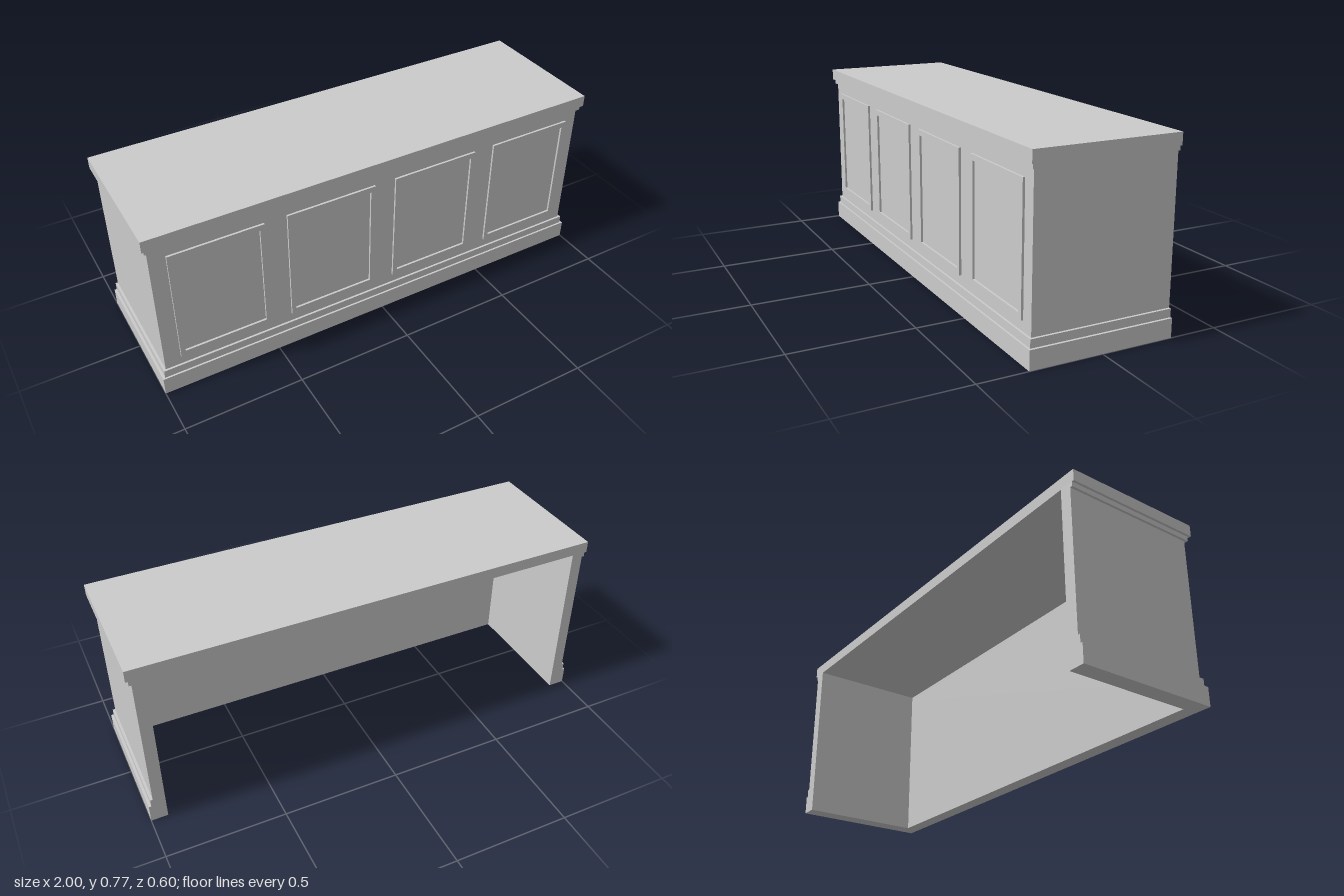
import * as THREE from 'three';

const BACK = -0.3;
const INNER_X = 0.93;
const INNER_Z = 0.235;

export function createModel() {
  const group = new THREE.Group();
  group.name = 'counter';
  const material = new THREE.MeshStandardMaterial({ color: 0xcccccc, flatShading: true });

  function add(name, geometry) {
    const mesh = new THREE.Mesh(geometry, material);
    mesh.name = name;
    group.add(mesh);
    return mesh;
  }

  // U-shaped wall layer, open at the back, from height y0 to y1
  function wallLayer(name, halfWidth, front, y0, y1) {
    const outline = [
      [-halfWidth, BACK], [-halfWidth, front], [halfWidth, front], [halfWidth, BACK],
      [INNER_X, BACK], [INNER_X, INNER_Z], [-INNER_X, INNER_Z], [-INNER_X, BACK],
    ].map(([x, z]) => new THREE.Vector2(x, -z));
    const geometry = new THREE.ExtrudeGeometry(new THREE.Shape(outline), {
      depth: y1 - y0, bevelEnabled: false,
    });
    geometry.rotateX(-Math.PI / 2).translate(0, y0, 0);
    add(name, geometry);
  }

  wallLayer('baseboard', 1.0, 0.298, 0, 0.078);
  wallLayer('baseMoulding', 0.99, 0.29, 0.078, 0.112);
  wallLayer('frontAndSideWalls', 0.98, 0.281, 0.112, 0.702);
  wallLayer('topMoulding', 0.99, 0.291, 0.702, 0.722);

  // Counter slab
  const top = add('countertop', new THREE.BoxGeometry(2, 0.049, 0.6));
  top.position.y = 0.7465;

  // Raised rectangular frames along the front
  const rectangle = (PathType, w, h) => new PathType([
    new THREE.Vector2(-w, -h), new THREE.Vector2(w, -h),
    new THREE.Vector2(w, h), new THREE.Vector2(-w, h),
  ]);
  const frame = rectangle(THREE.Shape, 0.194, 0.253);
  frame.holes.push(rectangle(THREE.Path, 0.174, 0.229));
  const frameGeometry = new THREE.ExtrudeGeometry(frame, { depth: 0.01, bevelEnabled: false });
  for (let i = 0; i < 4; i++) {
    const mesh = add('panelFrame' + (i + 1), frameGeometry);
    mesh.position.set(-0.719 + i * 0.483, 0.407, 0.28);
  }

  return group;
}
